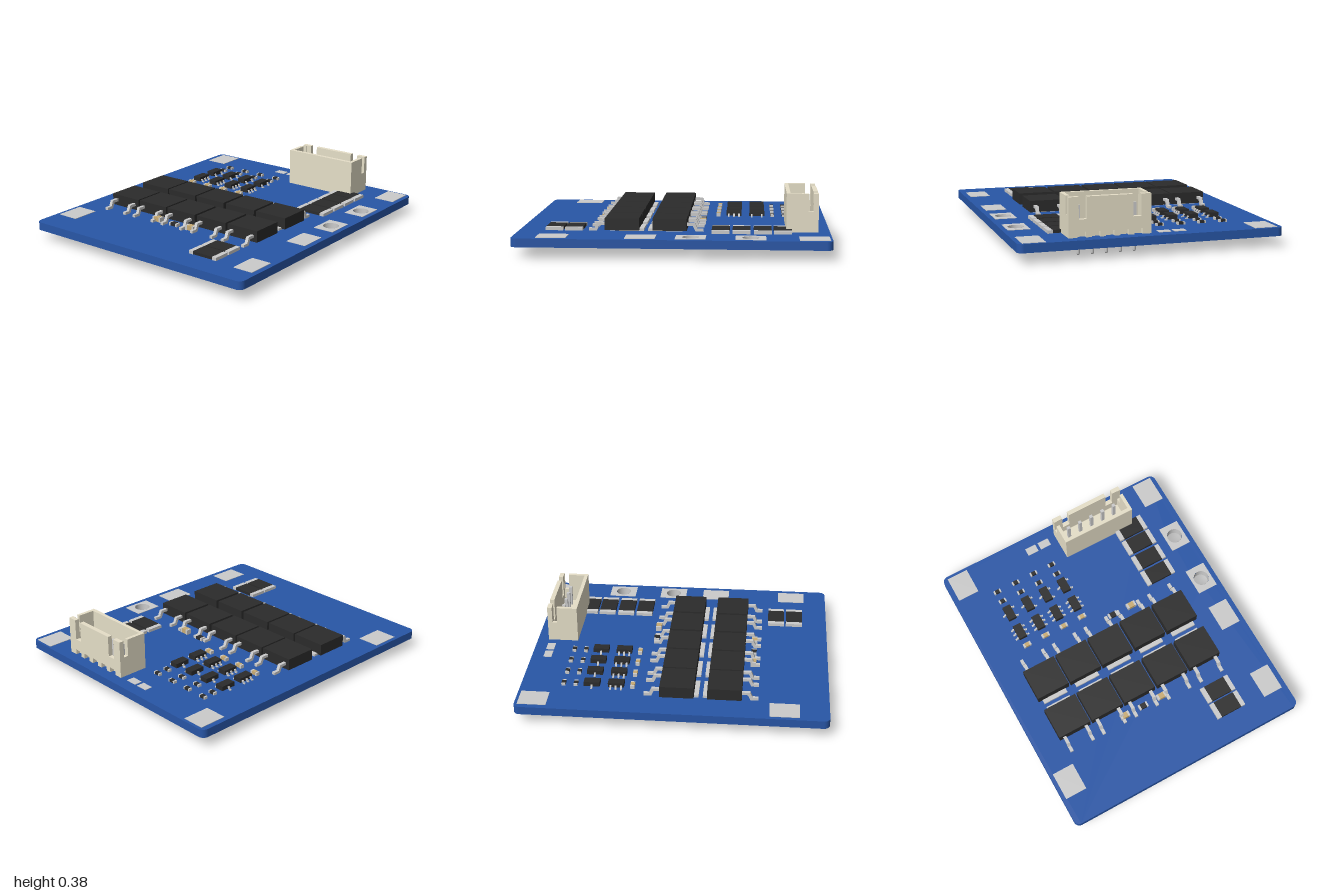
import * as THREE from 'three';

const mat = (color, side = THREE.FrontSide) => new THREE.MeshStandardMaterial({ color, side });
const BLUE = mat(0x2856a7), BLACK = mat(0x2b2b2b), METAL = mat(0xcccccc), CREAM = mat(0xe6dfc8), TAN = mat(0xc9ac74);
const TUBE = mat(0xcccccc, THREE.DoubleSide);
const TOP = 0.125, BOTTOM = 0.07;
const HOLES = [[0.12, 0.75], [0.495, 0.75]], HOLE_R = 0.053;

function add(parent, name, geometry, material) {
  const mesh = new THREE.Mesh(geometry, material);
  mesh.name = name;
  parent.add(mesh);
  return mesh;
}

// Box given by its extents
function box(parent, name, material, x0, x1, y0, y1, z0, z1) {
  const mesh = add(parent, name, new THREE.BoxGeometry(x1 - x0, y1 - y0, z1 - z0), material);
  mesh.position.set((x0 + x1) / 2, (y0 + y1) / 2, (z0 + z1) / 2);
  return mesh;
}

function shapeOf(points) {
  return new THREE.Shape(points.map(([x, y]) => new THREE.Vector2(x, y)));
}

function extrude(shape, depth) {
  return new THREE.ExtrudeGeometry(shape, { depth, bevelEnabled: false, curveSegments: 16 });
}

// Flat plate in the xz plane, with round holes
function plate(parent, name, material, shape, y0, y1, holes) {
  for (const [x, z] of holes) {
    shape.holes.push(new THREE.Path().absarc(x, -z, HOLE_R, 0, Math.PI * 2, true));
  }
  add(parent, name, extrude(shape, y1 - y0).rotateX(-Math.PI / 2), material).position.y = y0;
}

function makeBoard(root) {
  const w = 1, d = 0.855, r = 0.04;
  const s = new THREE.Shape();
  s.absarc(w - r, d - r, r, 0, Math.PI / 2);
  s.absarc(-w + r, d - r, r, Math.PI / 2, Math.PI);
  s.absarc(-w + r, -d + r, r, Math.PI, Math.PI * 1.5);
  s.absarc(w - r, -d + r, r, Math.PI * 1.5, Math.PI * 2);
  plate(root, 'circuitBoard', BLUE, s, BOTTOM, TOP, HOLES);

  // Solder pads: x0, x1, z0, z1
  const pads = [[-0.81, -0.62, -0.83, -0.68], [0.795, 0.98, -0.82, -0.67], [-0.845, -0.655, 0.68, 0.82],
    [-0.29, -0.1, 0.68, 0.82], [0.795, 0.985, 0.68, 0.825], [0.865, 0.92, -0.235, -0.155], [0.865, 0.92, -0.135, -0.055]];
  for (const [x0, x1, z0, z1] of pads) box(root, 'solderPad', METAL, x0, x1, TOP, TOP + 0.003, z0, z1);

  // Plated through holes with a square pad above and a ring below
  for (const [x, z] of HOLES) {
    const sq = shapeOf([[x - 0.095, -z - 0.072], [x + 0.095, -z - 0.072], [x + 0.095, -z + 0.072], [x - 0.095, -z + 0.072]]);
    plate(root, 'holePad', METAL, sq, TOP, TOP + 0.003, [[x, z]]);
    const ring = new THREE.Shape().absarc(x, -z, 0.067, 0, Math.PI * 2);
    plate(root, 'holeRing', METAL, ring, BOTTOM - 0.004, BOTTOM, [[x, z]]);
    add(root, 'holePlating', new THREE.CylinderGeometry(HOLE_R - 0.001, HOLE_R - 0.001, TOP - BOTTOM + 0.006, 32, 1, true), TUBE)
      .position.set(x, (TOP + BOTTOM) / 2, z);
  }
}

// Power transistor: leads point to -x, or to +x when turned round
function makeTransistor(turned) {
  const g = new THREE.Group();
  g.name = 'powerTransistor';
  box(g, 'transistorBody', BLACK, -0.11, 0.11, 0.008, 0.085, -0.117, 0.117);
  box(g, 'transistorTab', METAL, -0.08, 0.14, 0, 0.016, -0.088, 0.088);
  const lead = shapeOf([[-0.215, 0], [-0.165, 0], [-0.148, 0.037], [-0.1, 0.037], [-0.1, 0.055],
    [-0.163, 0.055], [-0.178, 0.018], [-0.215, 0.018]]);
  for (const z of [-0.081, 0.081]) add(g, 'transistorLead', extrude(lead, 0.022), METAL).position.z = z - 0.011;
  if (turned) g.rotation.y = Math.PI;
  return g;
}

// Chip component with metal ends along z
function makeChip(root, name, material, x, z, w, d, h, end) {
  const g = new THREE.Group();
  g.name = name;
  box(g, name + 'Body', material, -w / 2, w / 2, 0.002, h, -d / 2 + end, d / 2 - end);
  for (const s of [-1, 1]) {
    const c = s * (d / 2 - end / 2);
    box(g, name + 'End', METAL, -w / 2, w / 2, 0, h - 0.001, c - end / 2, c + end / 2);
  }
  g.position.set(x, TOP, z);
  root.add(g);
}

// Small packaged chip with bent pins along both z sides
function makeSmallChip(root, x, z, backPins, frontPins) {
  const g = new THREE.Group();
  g.name = 'smallChip';
  box(g, 'smallChipBody', BLACK, -0.052, 0.052, 0.006, 0.036, -0.029, 0.029);
  const pin = shapeOf([[0.02, 0.014], [0.033, 0.014], [0.037, 0], [0.052, 0], [0.052, 0.007], [0.042, 0.007], [0.038, 0.021], [0.02, 0.021]]);
  for (const [side, pins] of [[-1, backPins], [1, frontPins]]) {
    for (const px of pins) {
      const m = add(g, 'smallChipPin', extrude(pin, 0.012).translate(0, 0, -0.006).rotateY(-side * Math.PI / 2), METAL);
      m.position.x = px;
    }
  }
  g.position.set(x, TOP, z);
  root.add(g);
}

function makeConnector(root) {
  const g = new THREE.Group();
  g.name = 'connector';
  const x0 = 0.72, x1 = 0.925, z1 = 0.525, h = 0.25;
  const pinZ = [0.082, 0.172, 0.262, 0.352, 0.442];
  box(g, 'connectorFloor', CREAM, x0 + 0.01, x1 - 0.03, TOP, TOP + 0.045, 0.01, z1 - 0.01);
  box(g, 'connectorBackWall', CREAM, x0, x0 + 0.025, TOP, TOP + h, 0, z1);

  // End walls, each with a slot open at the top
  const end = shapeOf([[x0, 0], [x1, 0], [x1, h], [0.893, h], [0.893, 0.135], [0.86, 0.135], [0.86, h], [x0, h]]);
  for (const z of [0, z1 - 0.024]) add(g, 'connectorEndWall', extrude(end, 0.024), CREAM).position.set(0, TOP, z);

  // Slotted side wall with notches at its foot
  const outline = [[0, 0]];
  for (const z of pinZ) outline.push([z - 0.027, 0], [z - 0.027, 0.035], [z + 0.027, 0.035], [z + 0.027, 0]);
  outline.push([z1, 0], [z1, h]);
  for (const z of [0.435, 0.09]) outline.push([z + 0.026, h], [z + 0.026, 0.112], [z - 0.026, 0.112], [z - 0.026, h]);
  outline.push([0, h]);
  add(g, 'connectorSlottedWall', extrude(shapeOf(outline), 0.03).rotateY(-Math.PI / 2), CREAM).position.set(x1, TOP, 0);

  // Contact pins running through the board
  for (const z of pinZ) {
    box(g, 'contactPin', METAL, 0.829, 0.851, 0.06, 0.31, z - 0.011, z + 0.011);
    const tail = [[0, 0], [0.007, 0.002], [0.011, 0.012], [0.012, 0.075]].map(([r, y]) => new THREE.Vector2(r, y));
    add(g, 'contactPinTail', new THREE.LatheGeometry(tail, 12), METAL).position.set(0.84, 0, z);
  }
  root.add(g);
}

export function createModel() {
  const root = new THREE.Group();
  root.name = 'batteryProtectionBoard';
  makeBoard(root);

  // Two columns of power transistors, tabs facing each other
  for (const z of [-0.562, -0.315, -0.066, 0.188, 0.442]) {
    for (const [x, turned] of [[-0.332, false], [-0.025, true]]) {
      const t = makeTransistor(turned);
      t.position.set(x, TOP, z);
      root.add(t);
    }
  }

  // Large resistors
  for (const x of [-0.772, -0.645]) makeChip(root, 'largeResistor', BLACK, x, 0.428, 0.114, 0.215, 0.022, 0.032);
  for (const x of [0.302, 0.435, 0.57, 0.698]) makeChip(root, 'largeResistor', BLACK, x, 0.5, 0.114, 0.22, 0.022, 0.032);

  // Four matching sensing rows
  for (const z of [-0.556, -0.412, -0.27, -0.127]) {
    makeChip(root, 'smallCapacitor', TAN, 0.27, z, 0.028, 0.056, 0.024, 0.013);
    makeSmallChip(root, 0.377, z, [-0.035, 0, 0.035], [-0.035, 0, 0.035]);
    makeSmallChip(root, 0.535, z, [0], [-0.035, 0.035]);
    for (const x of [0.642, 0.722]) makeChip(root, 'smallResistor', BLACK, x, z, 0.026, 0.052, 0.018, 0.011);
  }

  // Parts beside the transistors
  for (const [x, z] of [[-0.502, -0.215], [-0.502, 0.068], [0.176, 0.213]]) {
    makeChip(root, 'capacitor', TAN, x, z, 0.038, 0.066, 0.034, 0.014);
  }
  for (const [x, z] of [[-0.502, -0.073], [0.176, 0.068]]) {
    makeChip(root, 'resistor', BLACK, x, z, 0.036, 0.066, 0.022, 0.013);
  }

  makeConnector(root);
  return root;
}
